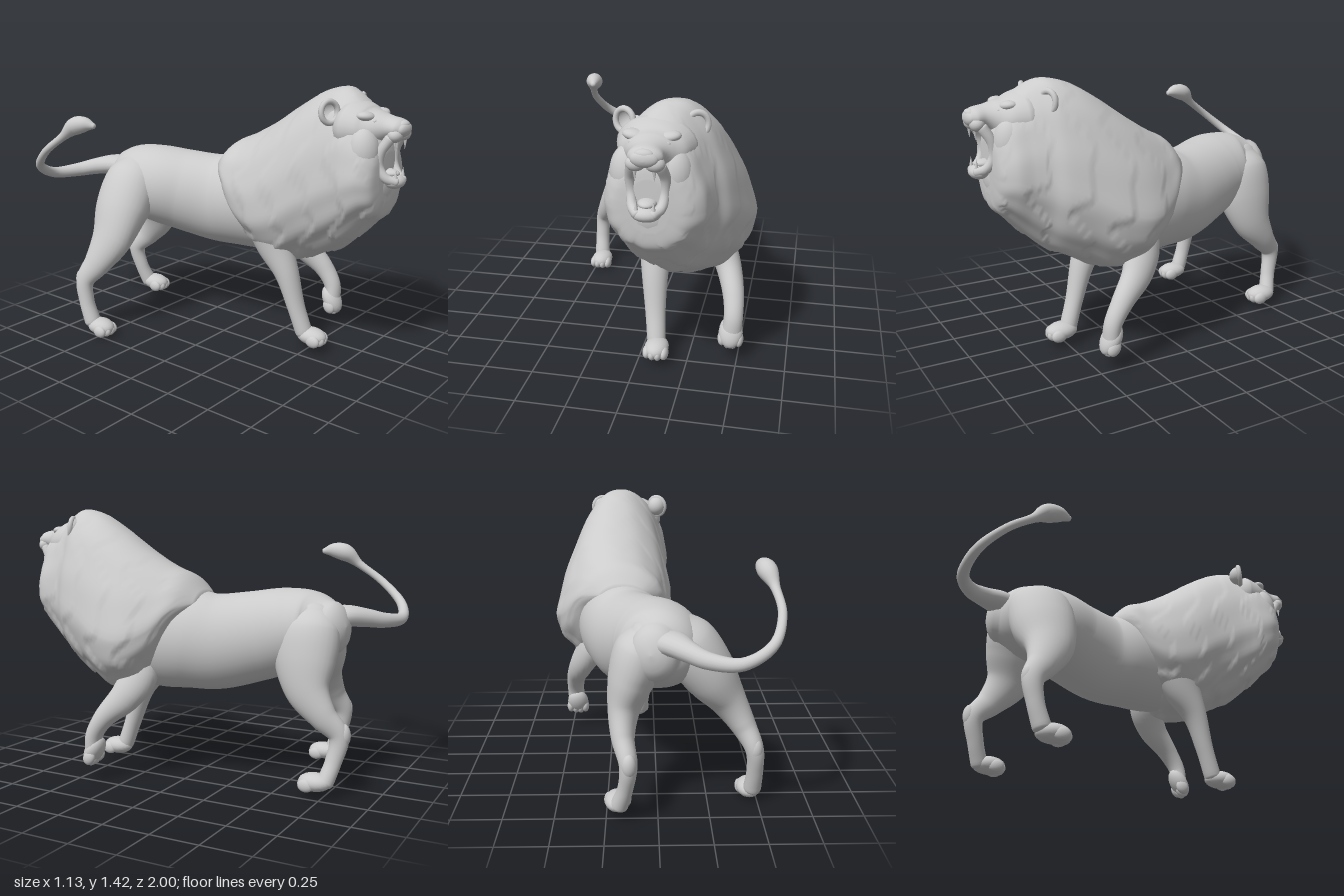
import * as THREE from 'three';

const mat = new THREE.MeshStandardMaterial({ color: 0xcccccc });
const matDouble = new THREE.MeshStandardMaterial({ color: 0xcccccc, side: THREE.DoubleSide });
const V = (x, y, z) => new THREE.Vector3(x, y, z);

// Smooth skin over closed rings of equal length
function skin(rings) {
  const n = rings[0].length, pos = [], idx = [];
  rings.forEach(r => r.forEach(p => pos.push(p.x, p.y, p.z)));
  for (let i = 0; i < rings.length - 1; i++) {
    for (let j = 0; j < n; j++) {
      const a = i * n + j, b = i * n + (j + 1) % n;
      idx.push(a, b, a + n, b, b + n, a + n);
    }
  }
  const g = new THREE.BufferGeometry();
  g.setAttribute('position', new THREE.Float32BufferAttribute(pos, 3));
  g.setIndex(idx);
  g.computeVertexNormals();
  return g;
}

// Loft of elliptical rings with rounded ends; each point is [x, y, z, sideRadius, upRadius]
function loft(pts, ref = V(1, 0, 0), sides = 28, per = 7) {
  const path = new THREE.CatmullRomCurve3(pts.map(p => V(p[0], p[1], p[2])));
  const radii = new THREE.CatmullRomCurve3(pts.map(p => V(p[3], p[4] ?? p[3], 0)), false, 'catmullrom');
  const rings = [];
  const add = (u, push, scale) => {
    const t = path.getTangent(u), r = radii.getPoint(u);
    const side = ref.clone().addScaledVector(t, -ref.dot(t)).normalize();
    const up = t.clone().cross(side);
    const c = path.getPoint(u).addScaledVector(t, push * Math.min(r.x, r.y) * 0.7);
    rings.push(Array.from({ length: sides }, (_, j) => {
      const a = j / sides * Math.PI * 2;
      return c.clone().addScaledVector(side, Math.cos(a) * r.x * scale).addScaledVector(up, Math.sin(a) * r.y * scale);
    }));
  };
  const steps = (pts.length - 1) * per, cap = 5;
  for (let k = cap; k > 0; k--) add(0, -Math.sin(k / cap * Math.PI / 2), Math.cos(k / cap * Math.PI / 2) + 1e-4);
  for (let i = 0; i <= steps; i++) add(i / steps, 0, 1);
  for (let k = 1; k <= cap; k++) add(1, Math.sin(k / cap * Math.PI / 2), Math.cos(k / cap * Math.PI / 2) + 1e-4);
  return skin(rings);
}

function part(parent, name, geometry, material = mat) {
  const m = new THREE.Mesh(geometry, material);
  m.name = name;
  parent.add(m);
  return m;
}

function ball(parent, name, x, y, z, rx, ry, rz) {
  const m = part(parent, name, new THREE.SphereGeometry(1, 20, 14));
  m.position.set(x, y, z);
  m.scale.set(rx, ry, rz);
  return m;
}

// Paw with four toes, pointing along +z before its pitch
function paw(parent, name, x, y, z, pitch = 0) {
  const g = new THREE.Group();
  g.name = name;
  ball(g, 'pad', 0, 0.002, 0, 0.062, 0.047, 0.085);
  for (let i = 0; i < 4; i++) {
    const s = i - 1.5;
    ball(g, 'toe', s * 0.029, -0.01, 0.05 - Math.abs(s) * 0.012, 0.023, 0.034, 0.042);
  }
  g.position.set(x, y, z);
  g.rotation.x = pitch;
  parent.add(g);
}

// Mane: rings along z with egg-shaped outline and overlapping clumps
function maneGeometry() {
  // z, centre x, half width, bottom y, top y
  const s = [
    [-0.1, 0.17, 0.1, 0.93, 0.985], [-0.01, 0.188, 0.22, 0.82, 1.08], [0.09, 0.213, 0.285, 0.62, 1.13],
    [0.22, 0.228, 0.325, 0.49, 1.205], [0.36, 0.226, 0.322, 0.46, 1.3], [0.5, 0.217, 0.292, 0.52, 1.385],
    [0.62, 0.2, 0.268, 0.575, 1.42], [0.69, 0.175, 0.247, 0.62, 1.405], [0.76, 0.157, 0.24, 0.68, 1.36],
    [0.84, 0.15, 0.225, 0.76, 1.29], [0.895, 0.14, 0.17, 0.81, 1.2], [0.91, 0.135, 0.08, 0.9, 1.12],
  ];
  const a = new THREE.CatmullRomCurve3(s.map(p => V(p[0], p[1], p[2])), false, 'catmullrom');
  const b = new THREE.CatmullRomCurve3(s.map(p => V(p[3], p[4], 0)), false, 'catmullrom');
  const rings = [], n = 84, steps = 90;
  for (let i = 0; i <= steps; i++) {
    const u = i / steps, p = a.getPoint(u), q = b.getPoint(u);
    const w = 0.64 - 0.12 * u, mid = q.x * w + q.y * (1 - w);
    const end = i === 0 || i === steps ? 0.001 : 1;
    rings.push(Array.from({ length: n }, (_, j) => {
      const t = j / n * Math.PI * 2, low = (0.55 - 0.45 * Math.sin(t)) * Math.min(1, u * 5);
      const wave = p.x * 5.5 + 0.28 * Math.sin(5 * t) + 0.16 * Math.sin(11 * t + 2);
      const layer = 1 - (wave - Math.floor(wave));
      const f = end * (1 + low * (0.045 * (layer - 0.5) + 0.014 * Math.sin(13 * t + 6 * p.x)));
      const h = Math.sin(t) > 0 ? q.y - mid : mid - q.x;
      const taper = 1 - 0.1 * Math.max(0, Math.sin(2 * t)) * (Math.sin(t) > 0 ? 1 : 0);
      return V(p.y + Math.cos(t) * p.z * f * taper, mid + Math.sin(t) * h * f, p.x);
    }));
  }
  return skin(rings);
}

function buildHead() {
  const head = new THREE.Group();
  head.name = 'head';
  const cx = 0.133;
  part(head, 'faceAndMuzzle', loft([
    [0.14, 1.235, 0.73, 0.185, 0.135], [0.136, 1.235, 0.81, 0.155, 0.108], [cx, 1.245, 0.865, 0.108, 0.079],
    [cx, 1.25, 0.91, 0.078, 0.058], [cx, 1.25, 0.955, 0.077, 0.048], [cx, 1.247, 0.978, 0.06, 0.036]]));
  ball(head, 'nose', cx, 1.27, 0.972, 0.043, 0.022, 0.026);
  ball(head, 'tongue', cx, 1.03, 0.91, 0.042, 0.022, 0.055);
  ball(head, 'chin', cx, 0.992, 0.945, 0.066, 0.034, 0.047);
  ball(head, 'throat', cx, 0.96, 0.84, 0.14, 0.13, 0.075);
  for (const s of [-1, 1]) {
    ball(head, 'upperLip', cx + s * 0.042, 1.222, 0.953, 0.044, 0.035, 0.036);
    ball(head, 'brow', cx + s * 0.072, 1.3, 0.81, 0.058, 0.026, 0.045).rotation.z = s * 0.15;
    ball(head, 'eye', cx + s * 0.073, 1.284, 0.862, 0.018, 0.011, 0.011);
    ball(head, 'cheek', cx + s * 0.1, 1.13, 0.815, 0.088, 0.13, 0.084);
    // side of the open mouth from upper lip to chin
    part(head, 'lip', loft([
      [cx + s * 0.062, 1.205, 0.935, 0.026], [cx + s * 0.077, 1.14, 0.9, 0.024],
      [cx + s * 0.074, 1.07, 0.895, 0.022], [cx + s * 0.063, 1.015, 0.925, 0.023],
      [cx + s * 0.035, 0.997, 0.965, 0.022]], V(0, 0, 1), 14));
    for (const [dx, y, z, h, flip] of [[0.042, 1.175, 0.965, 0.06, Math.PI], [0.038, 1.035, 0.965, 0.05, 0]]) {
      const f = part(head, 'fang', new THREE.ConeGeometry(0.011, h, 10));
      f.position.set(cx + s * dx, y, z);
      f.rotation.x = flip;
    }
    // cupped ear
    const ear = new THREE.Group();
    ear.name = s > 0 ? 'leftEar' : 'rightEar';
    const cup = part(ear, 'earCup', new THREE.SphereGeometry(0.052, 24, 12, 0, Math.PI * 2, 0, Math.PI / 2), matDouble);
    cup.rotation.x = -Math.PI / 2;
    cup.scale.y = 1.1;
    part(ear, 'earRim', new THREE.TorusGeometry(0.048, 0.014, 10, 28));
    ear.position.set(0.143 + s * 0.166, 1.318, 0.66);
    ear.scale.y = 1.08;
    ear.rotation.set(-0.1, s * 0.4, 0);
    head.add(ear);
  }
  return head;
}

export function createModel() {
  const lion = new THREE.Group();
  lion.name = 'lion';

  part(lion, 'body', loft([
    [0.015, 0.83, -0.72, 0.12, 0.135], [-0.01, 0.82, -0.62, 0.195, 0.19], [-0.005, 0.8, -0.48, 0.22, 0.22],
    [0.065, 0.765, -0.32, 0.212, 0.235], [0.14, 0.735, -0.14, 0.215, 0.25], [0.17, 0.745, 0, 0.232, 0.262],
    [0.2, 0.755, 0.15, 0.225, 0.27], [0.22, 0.78, 0.35, 0.2, 0.25]], V(1, 0, 0), 40));
  part(lion, 'mane', maneGeometry());
  lion.add(buildHead());

  // Legs, each from hip or shoulder down to the ankle
  const legs = {
    rightHindLeg: [[-0.075, 0.91, -0.555, 0.09, 0.12], [-0.145, 0.825, -0.55, 0.14, 0.165], [-0.245, 0.68, -0.54, 0.135, 0.165],
      [-0.345, 0.53, -0.53, 0.093, 0.125], [-0.425, 0.4, -0.57, 0.062, 0.08], [-0.474, 0.3, -0.62, 0.046, 0.055],
      [-0.482, 0.18, -0.605, 0.041, 0.043], [-0.477, 0.07, -0.57, 0.045, 0.045]],
    leftHindLeg: [[0.045, 0.9, -0.61, 0.08, 0.12], [0.08, 0.81, -0.615, 0.125, 0.165], [0.125, 0.67, -0.62, 0.113, 0.16],
      [0.16, 0.53, -0.65, 0.08, 0.118], [0.165, 0.41, -0.73, 0.056, 0.075], [0.14, 0.31, -0.81, 0.044, 0.052],
      [0.155, 0.18, -0.79, 0.038, 0.042], [0.185, 0.08, -0.76, 0.044, 0.043]],
    rightFrontLeg: [[0.05, 0.75, 0.25, 0.12, 0.15], [0.05, 0.58, 0.3, 0.088, 0.11], [0.06, 0.42, 0.38, 0.068, 0.065],
      [0.073, 0.24, 0.435, 0.053, 0.046], [0.087, 0.1, 0.48, 0.048, 0.045]],
    leftFrontLeg: [[0.32, 0.72, 0.25, 0.08, 0.12], [0.365, 0.57, 0.205, 0.08, 0.105], [0.42, 0.46, 0.25, 0.068, 0.085],
      [0.465, 0.34, 0.36, 0.055, 0.056], [0.475, 0.24, 0.42, 0.049, 0.045], [0.468, 0.15, 0.43, 0.052, 0.042]],
  };
  for (const name in legs) part(lion, name, loft(legs[name]));
  paw(lion, 'rightHindPaw', -0.465, 0.046, -0.515);
  paw(lion, 'leftHindPaw', 0.195, 0.076, -0.71);
  paw(lion, 'rightFrontPaw', 0.097, 0.08, 0.525);
  paw(lion, 'leftFrontPaw', 0.465, 0.155, 0.425, 1.05);

  // Heel points of the hind legs
  ball(lion, 'rightHock', -0.476, 0.305, -0.641, 0.036, 0.06, 0.035);
  ball(lion, 'leftHock', 0.137, 0.315, -0.834, 0.036, 0.06, 0.035);

  part(lion, 'tail', loft([
    [0.0, 0.85, -0.64, 0.07, 0.1], [-0.07, 0.88, -0.755, 0.058, 0.085], [-0.135, 0.87, -0.845, 0.048, 0.055],
    [-0.22, 0.852, -0.92, 0.039], [-0.36, 0.853, -0.97, 0.03], [-0.495, 0.922, -0.925, 0.025],
    [-0.55, 1.03, -0.8, 0.021], [-0.535, 1.12, -0.675, 0.023], [-0.51, 1.18, -0.605, 0.047],
    [-0.497, 1.195, -0.54, 0.04], [-0.485, 1.19, -0.485, 0.015]], V(0, 1, 0), 18));

  return lion;
}
